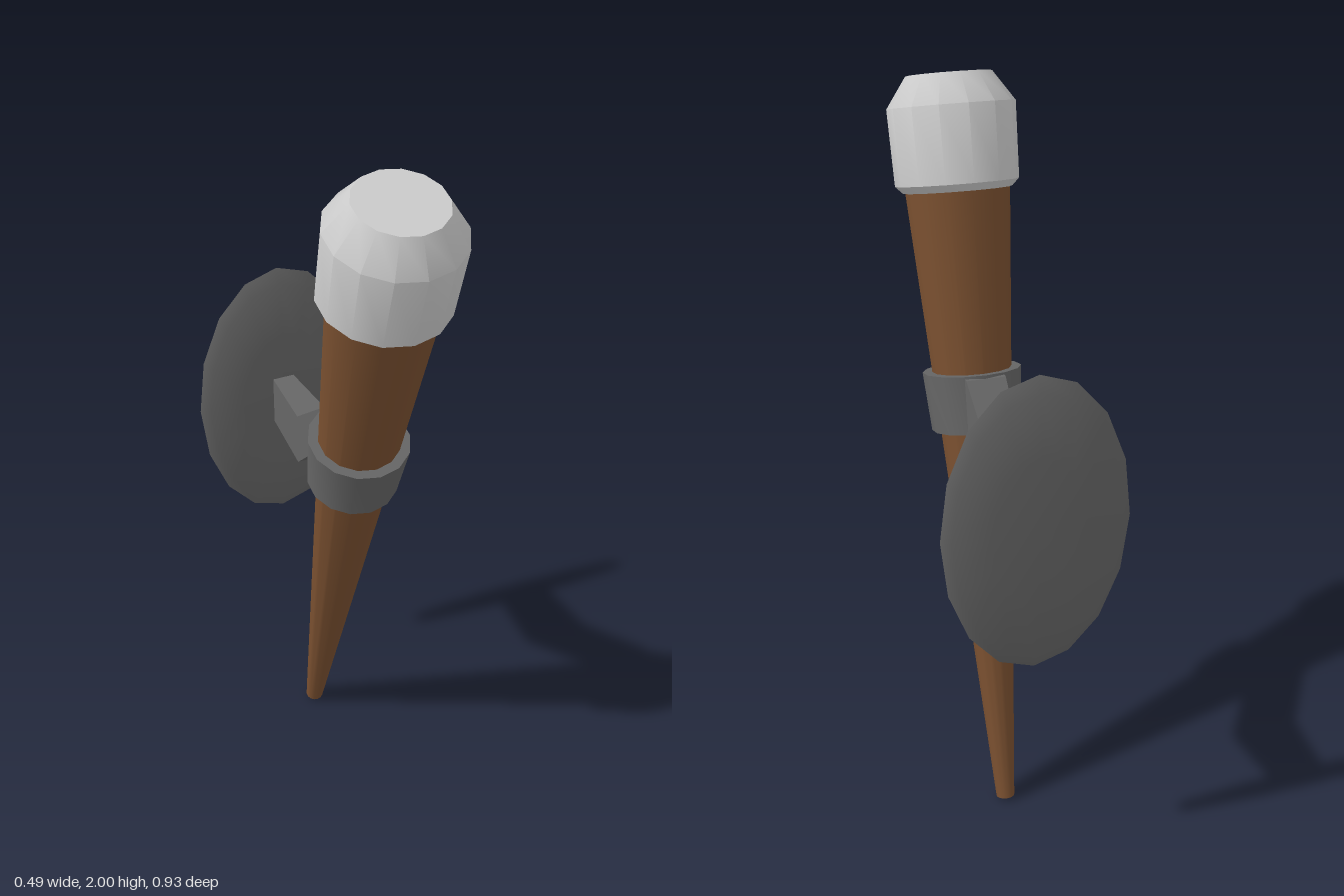
import * as THREE from 'three';
import { toCreasedNormals } from 'three/addons/utils/BufferGeometryUtils.js';

const WOOD = 0x7a5030, IRON = 0x666666, GREY = 0xcccccc;

function part(name, geometry, color, crease = 0.6) {
  const mesh = new THREE.Mesh(
    toCreasedNormals(geometry, crease),
    new THREE.MeshStandardMaterial({ color })
  );
  mesh.name = name;
  return mesh;
}

// Turned solid from [radius, height] pairs, listed bottom to top
function turned(points, sides) {
  return new THREE.LatheGeometry(points.map(([r, y]) => new THREE.Vector2(r, y)), sides);
}

// Rectangular bar lofted through sections of [z, bottom y, top y, half width]
function loftedBar(sections) {
  const positions = [], index = [];
  for (const [z, y0, y1, w] of sections) {
    positions.push(-w, y0, z, w, y0, z, w, y1, z, -w, y1, z);
  }
  for (let s = 0; s < sections.length - 1; s++) {
    for (let k = 0; k < 4; k++) {
      const a = s * 4 + k, b = s * 4 + (k + 1) % 4;
      index.push(a, a + 4, b, b, a + 4, b + 4);
    }
  }
  const e = (sections.length - 1) * 4;
  index.push(0, 1, 2, 0, 2, 3, e, e + 2, e + 1, e, e + 3, e + 2);
  const g = new THREE.BufferGeometry();
  g.setAttribute('position', new THREE.Float32BufferAttribute(positions, 3));
  g.setIndex(index);
  g.computeVertexNormals();
  return g;
}

export function createModel() {
  const model = new THREE.Group();
  model.name = 'wallTorch';

  // Torch leaning forward, built upright from its lower tip
  const torch = new THREE.Group();
  torch.name = 'torch';
  torch.position.set(0, 0.007, -0.203);
  torch.rotation.x = 0.261;
  model.add(torch);

  torch.add(part('handle', turned([[0, 0], [0.026, 0], [0.14, 1.76], [0, 1.76]], 14), WOOD));
  torch.add(part('head', turned([
    [0, 1.738], [0.145, 1.738], [0.164, 1.757], [0.169, 1.955], [0.113, 2.034], [0, 2.034]
  ], 14), GREY, 0.72));
  torch.add(part('collar', turned([[0, 1.1], [0.121, 1.1], [0.134, 1.26], [0, 1.26]], 14), IRON));

  // Bent arm from the collar back to the wall plate
  model.add(part('arm', loftedBar([
    [0.02, 1.14, 1.25, 0.055],
    [-0.01, 1.12, 1.25, 0.054],
    [-0.19, 0.955, 1.11, 0.044],
    [-0.42, 0.96, 1.103, 0.03]
  ]), IRON, 0.3));

  // Oval lens-shaped wall plate
  const plate = turned([[0, -0.031], [0.5, -0.029], [0.9, -0.018], [1, 0],
    [0.9, 0.018], [0.5, 0.029], [0, 0.031]], 16);
  plate.rotateX(Math.PI / 2);
  plate.scale(0.245, 0.41, 1);
  plate.translate(0, 1.032, -0.43);
  model.add(part('wallPlate', plate, IRON, 0.6));

  return model;
}
